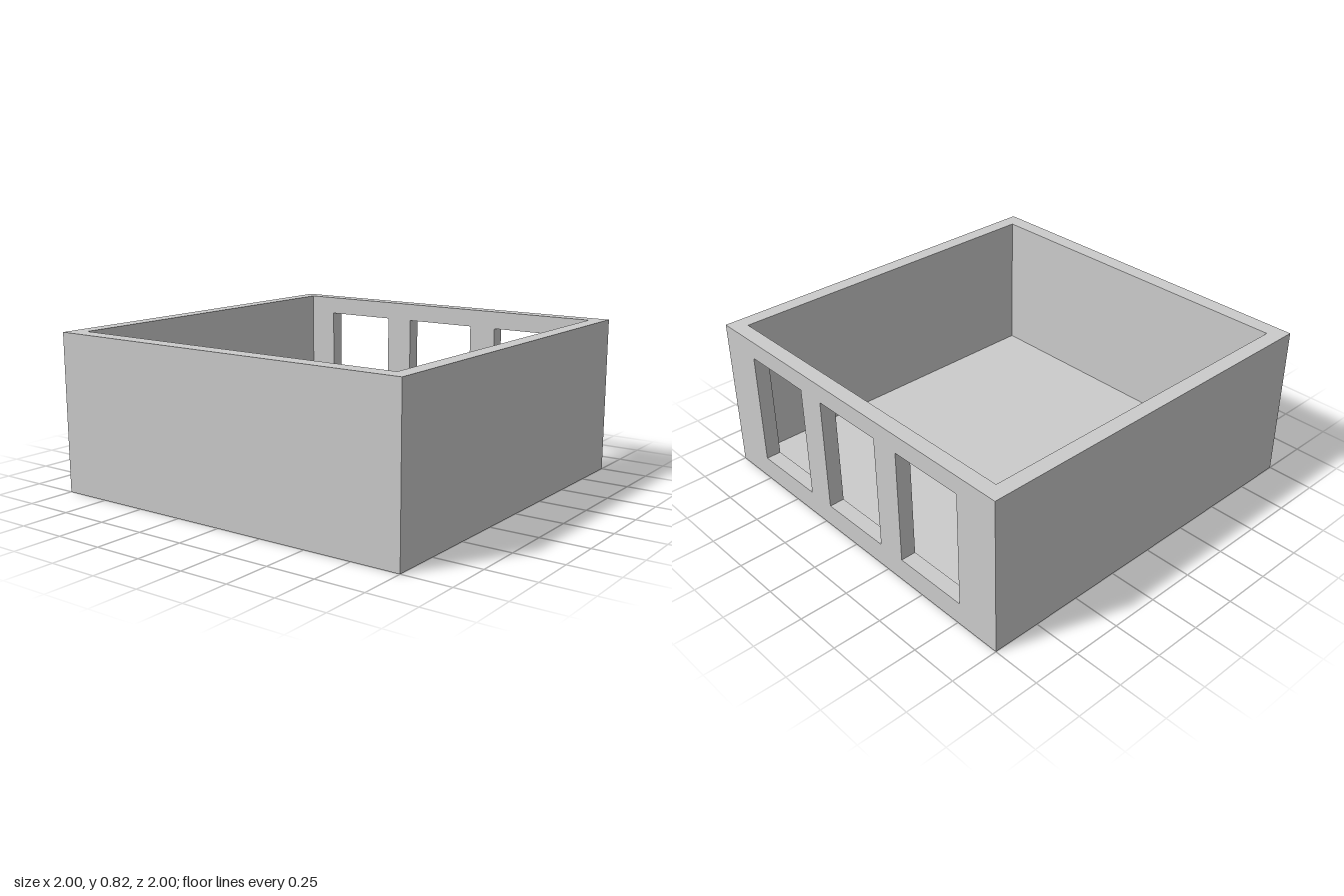
import * as THREE from 'three';
import { mergeGeometries } from 'three/addons/utils/BufferGeometryUtils.js';

const AXES = [new THREE.Vector3(1, 0, 0), new THREE.Vector3(0, 1, 0), new THREE.Vector3(0, 0, 1)];

// Outer block, hollow inside, and window openings through the left wall
const OUTER = { min: [-1, 0, -1], max: [1, 0.82, 1] };
const CAVITY = { min: [-0.915, 0.06, -0.92], max: [0.92, 0.82, 0.92] };
const WINDOWS = [-0.56, 0, 0.56].map((z) => ({
  min: [CAVITY.max[0], 0.12, z - 0.203],
  max: [OUTER.max[0], 0.725, z + 0.203],
}));

// Traces the rectangle a box covers in the plane across one axis
function traceRect(path, box, u, v) {
  path.moveTo(box.min[u], box.min[v]);
  path.lineTo(box.max[u], box.min[v]);
  path.lineTo(box.max[u], box.max[v]);
  path.lineTo(box.min[u], box.max[v]);
  path.closePath();
  return path;
}

// Flat face of a box across an axis, with optional holes; normal points along sign
function face(box, axis, atMax, sign, holes) {
  const u = (axis + 1) % 3, v = (axis + 2) % 3;
  const shape = traceRect(new THREE.Shape(), box, u, v);
  holes.forEach((hole) => shape.holes.push(traceRect(new THREE.Path(), hole, u, v)));
  const geometry = new THREE.ShapeGeometry(shape);
  geometry.applyMatrix4(new THREE.Matrix4().makeBasis(AXES[u], AXES[v], AXES[axis]));
  geometry.translate(...AXES[axis].clone().multiplyScalar((atMax ? box.max : box.min)[axis]).toArray());
  if (sign < 0) geometry.index.array.reverse();
  geometry.computeVertexNormals();
  return geometry;
}

// Skin of a box, facing out or in; options give holes per face, or null to leave a face open
function boxSkin(name, box, inward, options) {
  const faces = [];
  for (let axis = 0; axis < 3; axis++) {
    for (const atMax of [false, true]) {
      const holes = options[(atMax ? '+' : '-') + 'xyz'[axis]];
      if (holes === null) continue;
      faces.push(face(box, axis, atMax, atMax !== inward ? 1 : -1, holes ?? []));
    }
  }
  const mesh = new THREE.Mesh(mergeGeometries(faces), new THREE.MeshStandardMaterial({ color: 0xcccccc }));
  mesh.name = name;
  return mesh;
}

export function createModel() {
  const model = new THREE.Group();
  model.name = 'openRoom';

  // Outside walls, underside and top rim
  model.add(boxSkin('outerWallsAndRim', OUTER, false, { '+x': WINDOWS, '+y': [CAVITY] }));

  // Inside walls and floor, open at the top
  model.add(boxSkin('innerWallsAndFloor', CAVITY, true, { '+x': WINDOWS, '+y': null }));

  // Sill, head and jambs of each window
  WINDOWS.forEach((opening, i) => {
    model.add(boxSkin(`windowReveal${i + 1}`, opening, true, { '-x': null, '+x': null }));
  });

  return model;
}
